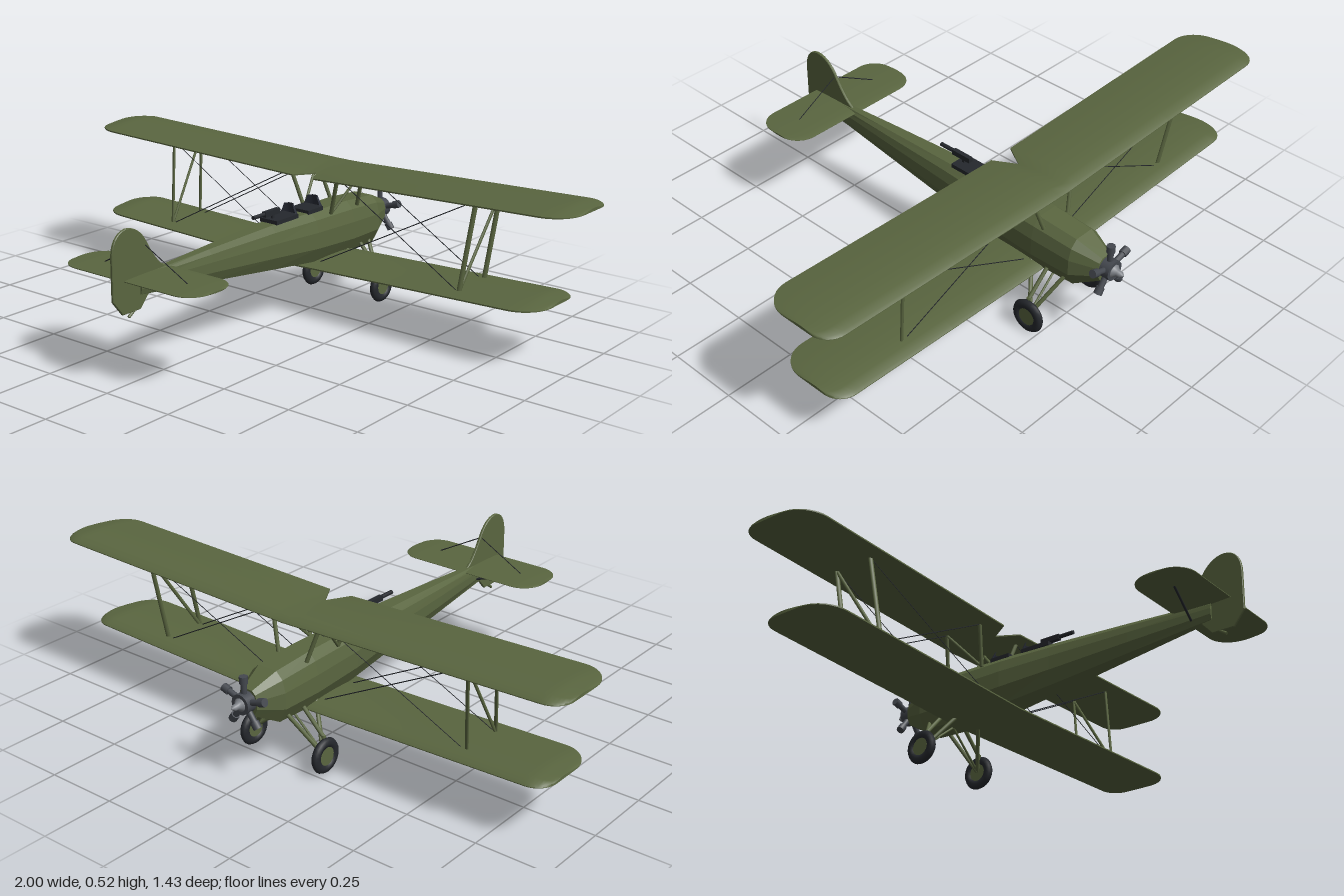
import * as THREE from 'three';
import { toCreasedNormals } from 'three/addons/utils/BufferGeometryUtils.js';

const V = (x, y, z) => new THREE.Vector3(x, y, z);
const mat = (color, extra = {}) => new THREE.MeshStandardMaterial({ color, ...extra });

// Skin a row of closed rings, cap both ends and make the faces point outward
function loft(rings) {
  const n = rings[0].length, tris = [];
  const tri = (a, b, c) => tris.push([a, b, c]);
  for (let i = 0; i < rings.length - 1; i++)
    for (let j = 0; j < n; j++) {
      const k = (j + 1) % n, A = rings[i], B = rings[i + 1];
      tri(A[j], B[j], B[k]);
      tri(A[j], B[k], A[k]);
    }
  const last = rings[rings.length - 1];
  for (let j = 1; j < n - 1; j++) {
    tri(rings[0][0], rings[0][j], rings[0][j + 1]);
    tri(last[0], last[j + 1], last[j]);
  }
  let vol = 0;
  const mid = rings[0][0];
  for (const [a, b, c] of tris)
    vol += a.clone().sub(mid).dot(b.clone().sub(mid).cross(c.clone().sub(mid)));
  const pos = [];
  for (const [a, b, c] of tris)
    for (const p of vol < 0 ? [a, c, b] : [a, b, c]) pos.push(p.x, p.y, p.z);
  const g = new THREE.BufferGeometry();
  g.setAttribute('position', new THREE.Float32BufferAttribute(pos, 3));
  g.computeVertexNormals();
  return g;
}

// Full-span surface with rounded tips; notch cuts a V into the trailing edge
function wingGeometry({ half, front, back, y, rise, thick, rf, rb, notch = 0, camber = true }) {
  const right = notch ? [0, 0.045, 0.046, half * 0.5] : [0, half * 0.5];
  const r = Math.max(rf, rb);
  for (let i = 0; i <= 10; i++) right.push(half - r + r * Math.sin((i / 10) * Math.PI / 2));
  const xs = [...right.slice(1).reverse().map(x => -x), ...right];
  const corner = (x, rad) => {
    const d = Math.max(0, Math.abs(x) - (half - rad)) / rad;
    return rad * (1 - Math.sqrt(Math.max(0, 1 - d * d)));
  };
  const rings = xs.map(x => {
    const ax = Math.abs(x);
    const z0 = front + corner(x, rf);
    const z1 = back - corner(x, rb) - (ax < 0.0455 ? notch * (1 - ax / 0.045) : 0);
    const t = thick * (0.55 + 0.45 * Math.min(1, (half - ax) / 0.06));
    const base = y + rise * ax / half;
    const top = [], bottom = [];
    for (let i = 0; i <= 8; i++) {
      const u = (1 - Math.cos(i / 8 * Math.PI)) / 2;
      const h = t * (0.12 + 0.88 * Math.min(1, 2.1 * Math.sqrt(u) * (1 - u * 0.95)));
      const z = z0 + (z1 - z0) * u;
      top.push(V(x, base + (camber ? h : h / 2), z));
      bottom.unshift(V(x, base - (camber ? 0 : h / 2), z));
    }
    return [...top, ...bottom];
  });
  return toCreasedNormals(loft(rings), 0.7);
}

export function createModel() {
  const root = new THREE.Group();
  const green = mat(0x5a6640), flatGreen = mat(0x5a6640, { flatShading: true });
  const dark = mat(0x25282d), engineGrey = mat(0x44484f), metal = mat(0x7c8086);
  const glass = mat(0x2b2f3a, { side: THREE.DoubleSide });
  const add = (name, geo, material, p = [0, 0, 0], parent = root) => {
    const m = new THREE.Mesh(geo, material);
    m.name = name;
    m.position.set(...p);
    parent.add(m);
    return m;
  };
  const rod = (name, a, b, r, material = green, flat = 1) => {
    const s = V(...a), e = V(...b), d = e.clone().sub(s);
    const m = add(name, new THREE.CylinderGeometry(r, r, d.length(), r < 0.003 ? 4 : 8), material);
    m.position.copy(s).add(e).multiplyScalar(0.5);
    m.quaternion.setFromUnitVectors(V(0, 1, 0), d.normalize());
    m.scale.x = flat;
    return m;
  };

  // Faceted fuselage: z, bottom, top, half width
  const section = [[0.5, 1], [0.85, 0.72], [1, 0.25], [1, -0.4], [0.62, -1]];
  const ring = [...section, ...section.map(([x, y]) => [-x, y]).reverse()];
  const stations = [
    [-0.64, 0.23, 0.315, 0.036], [-0.55, 0.18, 0.352, 0.072], [-0.4, 0.176, 0.362, 0.075],
    [-0.2, 0.188, 0.363, 0.07], [0, 0.209, 0.36, 0.054], [0.3, 0.243, 0.349, 0.034],
    [0.6, 0.276, 0.336, 0.012],
  ];
  add('fuselage', loft(stations.map(([z, b, t, w]) =>
    ring.map(([x, y]) => V(x * w, (b + t) / 2 + y * (t - b) / 2, z)))), flatGreen);

  // Wings and tailplane
  add('upperWing', wingGeometry({ half: 1, front: -0.48, back: -0.2, y: 0.477, rise: 0.029,
    thick: 0.022, rf: 0.065, rb: 0.1, notch: 0.075 }), green);
  add('lowerWing', wingGeometry({ half: 0.93, front: -0.433, back: -0.162, y: 0.175, rise: 0.028,
    thick: 0.022, rf: 0.065, rb: 0.1 }), green);
  add('tailplane', wingGeometry({ half: 0.28, front: 0.463, back: 0.67, y: 0.334, rise: 0,
    thick: 0.012, rf: 0.075, rb: 0.075, camber: false }), green);

  // Fin and rudder, drawn as (z, y)
  const fin = new THREE.Shape();
  fin.moveTo(0.48, 0.335);
  fin.quadraticCurveTo(0.52, 0.35, 0.565, 0.43);
  fin.quadraticCurveTo(0.6, 0.493, 0.655, 0.493);
  fin.quadraticCurveTo(0.714, 0.485, 0.714, 0.41);
  fin.lineTo(0.714, 0.28);
  fin.lineTo(0.675, 0.231);
  fin.lineTo(0.6, 0.231);
  fin.lineTo(0.56, 0.275);
  const finGeo = new THREE.ExtrudeGeometry(fin, { depth: 0.006, bevelThickness: 0.002,
    bevelSize: 0.002, bevelSegments: 1, curveSegments: 8 });
  finGeo.translate(0, 0, -0.003).rotateY(-Math.PI / 2);
  add('finAndRudder', finGeo, green);
  rod('tailSkid', [0, 0.27, 0.57], [0, 0.215, 0.648], 0.005);

  // Struts, rigging and undercarriage on both sides
  for (const s of [-1, 1]) {
    const top = [[s * 0.645, 0.498, -0.41], [s * 0.645, 0.498, -0.262]];
    const low = [[s * 0.62, 0.198, -0.37], [s * 0.62, 0.198, -0.22]];
    rod('interplaneStrut', top[0], low[0], 0.008, green, 0.6);
    rod('interplaneStrut', top[1], low[1], 0.008, green, 0.6);
    rod('interplaneDiagonal', top[0], low[1], 0.006, green, 0.7);

    const cab = [[s * 0.1, 0.482, -0.41], [s * 0.1, 0.482, -0.262]];
    const deck = [[s * 0.058, 0.345, -0.435], [s * 0.058, 0.345, -0.285]];
    rod('cabaneStrut', cab[0], deck[0], 0.007);
    rod('cabaneStrut', cab[1], deck[1], 0.007);
    rod('cabaneDiagonal', cab[0], deck[1], 0.005);

    for (let i = 0; i < 2; i++) {
      rod('flyingWire', top[i], [s * 0.065, 0.19, low[i][2]], 0.0016, dark);
      rod('landingWire', low[i], cab[i], 0.0016, dark);
    }

    // Wheel with hub and legs
    const wheel = new THREE.Group();
    wheel.name = 'wheel';
    wheel.position.set(s * 0.15, 0.06, -0.462);
    root.add(wheel);
    const tyre = add('tyre', new THREE.TorusGeometry(0.043, 0.017, 8, 24), dark, [0, 0, 0], wheel);
    tyre.rotation.y = Math.PI / 2;
    tyre.scale.z = 0.75;
    const hub = add('hub', new THREE.CylinderGeometry(0.031, 0.031, 0.018, 20), green, [0, 0, 0], wheel);
    hub.rotation.z = Math.PI / 2;
    rod('frontLeg', [s * 0.142, 0.062, -0.462], [s * 0.05, 0.195, -0.52], 0.007);
    rod('rearLeg', [s * 0.142, 0.062, -0.462], [s * 0.05, 0.195, -0.385], 0.007);
    rod('shockLeg', [s * 0.138, 0.115, -0.452], [s * 0.06, 0.2, -0.457], 0.007);
    rod('shockStrut', [s * 0.14, 0.062, -0.462], [s * 0.138, 0.122, -0.452], 0.007);
    rod('axleBrace', [s * 0.145, 0.062, -0.462], [0, 0.18, -0.455], 0.004);

    // Tail bracing
    rod('tailWire', [s * 0.175, 0.337, 0.572], [0, 0.43, 0.575], 0.0018, dark);
    rod('tailBrace', [s * 0.175, 0.332, 0.572], [s * 0.012, 0.288, 0.53], 0.004, dark);
  }

  // Five-cylinder radial engine and nose cone
  const engine = new THREE.Group();
  engine.name = 'engine';
  engine.position.set(0, 0.276, -0.656);
  root.add(engine);
  const crank = add('crankcase', new THREE.CylinderGeometry(0.034, 0.034, 0.04, 16), engineGrey, [0, 0, 0], engine);
  crank.rotation.x = Math.PI / 2;
  for (let i = 0; i < 5; i++) {
    const arm = new THREE.Group();
    arm.name = 'engineCylinder';
    arm.rotation.z = i * Math.PI * 2 / 5;
    engine.add(arm);
    add('barrel', new THREE.CylinderGeometry(0.01, 0.01, 0.06, 10), engineGrey, [0, 0.05, 0], arm);
    add('head', new THREE.CylinderGeometry(0.014, 0.014, 0.024, 10), engineGrey, [0, 0.077, 0], arm);
  }
  const cone = [[0.03, 0], [0.028, 0.014], [0.018, 0.024], [0.011, 0.034], [0.01, 0.046], [0, 0.058]];
  const spinner = add('noseCone', new THREE.LatheGeometry(cone.map(p => new THREE.Vector2(...p)), 16),
    metal, [0, 0, 0], engine);
  spinner.rotation.x = -Math.PI / 2;

  // Two cockpits with windscreens
  for (const [z, len, w] of [[-0.222, 0.08, 0.04], [-0.075, 0.115, 0.036]]) {
    add('cockpitOpening', new THREE.BoxGeometry(w * 2, 0.014, len), dark, [0, 0.366, z]);
    add('windscreen', new THREE.CylinderGeometry(w * 0.5, w, 0.045, 6, 1, true, Math.PI / 2, Math.PI),
      glass, [0, 0.382, z - len / 2 + 0.01]);
  }

  // Rear gun on its mount
  add('gunMount', new THREE.BoxGeometry(0.008, 0.03, 0.01), dark, [0, 0.378, -0.04]);
  add('gunBody', new THREE.BoxGeometry(0.016, 0.018, 0.075), dark, [0, 0.394, -0.032]);
  rod('gunBarrel', [0, 0.395, 0], [0, 0.395, 0.062], 0.007, dark);

  return root;
}
